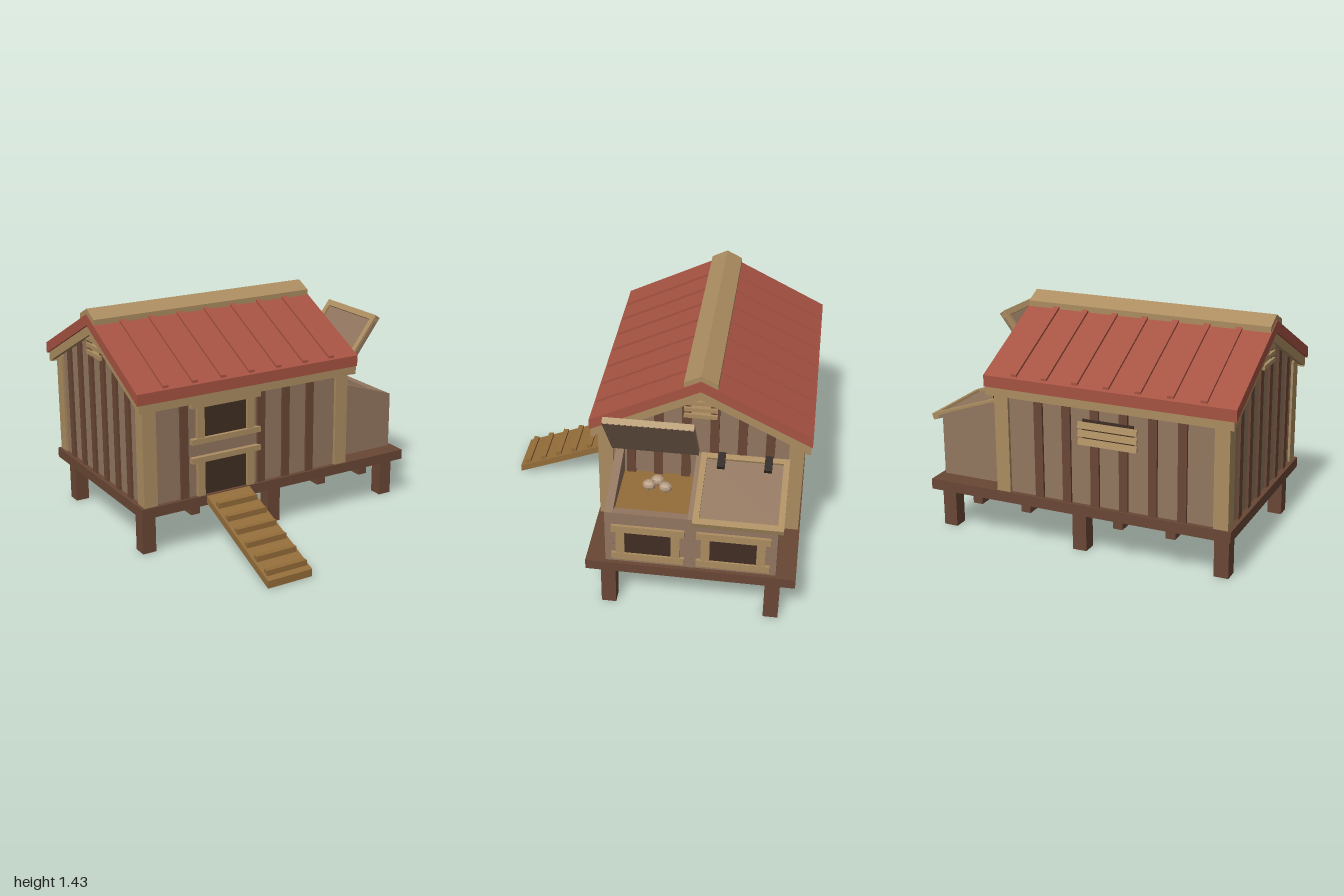
import * as THREE from 'three';

export function createModel() {
  const root = new THREE.Group();
  root.name = 'chickenCoop';
  const mat = (name, color) => {
    const m = new THREE.MeshStandardMaterial({ color });
    m.name = name;
    return m;
  };
  const wall = mat('wallBoards', 0x92765f);
  const wood = mat('darkTimber', 0x694735);
  const trim = mat('paleTrim', 0xac8d60);
  const red = mat('roofRed', 0xa65342);
  const dark = mat('darkOpening', 0x402e23);
  const straw = mat('rampAndStraw', 0x946d3a);
  const iron = mat('hingeIron', 0x2f2622);
  const shell = mat('eggShell', 0xb59a80);

  const add = (name, geo, m, parent = root) => {
    const mesh = new THREE.Mesh(geo, m);
    mesh.name = name;
    parent.add(mesh);
    return mesh;
  };
  // Box given by its limits on each axis
  const box = (name, m, x0, x1, y0, y1, z0, z1, parent) => {
    const g = new THREE.BoxGeometry(x1 - x0, y1 - y0, z1 - z0);
    g.translate((x0 + x1) / 2, (y0 + y1) / 2, (z0 + z1) / 2);
    return add(name, g, m, parent);
  };
  const extrude = (pts, depth) => new THREE.ExtrudeGeometry(
    new THREE.Shape(pts.map(p => new THREE.Vector2(...p))), { depth, bevelEnabled: false });
  // [z, y] profile extruded along x
  const alongX = (name, m, pts, x0, x1) => {
    const g = extrude(pts.map(([z, y]) => [-z, y]), x1 - x0);
    g.rotateY(Math.PI / 2);
    g.translate(x0, 0, 0);
    return add(name, g, m);
  };

  const ZC = -0.33;                 // ridge line
  const XC = -0.215;                // middle of the house
  const FLOOR = 0.335;
  const under = z => 1.33 - 0.5 * Math.abs(z - ZC);   // roof underside height
  // Chevron band following the roof, from lo to hi above the underside
  const chevron = (half, lo, hi) => {
    const a = ZC + half, b = ZC - half;
    return [[a, under(a) + lo], [a, under(a) + hi], [ZC, 1.33 + hi],
      [b, under(b) + hi], [b, under(b) + lo], [ZC, 1.33 + lo]];
  };

  // Base: platform, joists, legs
  box('platform', wood, -0.97, 0.98, 0.27, FLOOR, -0.96, 0.30);
  for (const x of [-0.602, -0.272, 0.332, 0.664]) box('joist', wood, x - 0.031, x + 0.031, 0.22, 0.27, -0.945, 0.285);
  for (const x of [-0.885, 0.015, 0.915]) for (const z of [0.165, -0.825])
    box('leg', wood, x - 0.045, x + 0.045, 0, 0.27, z - 0.045, z + 0.045);

  // House body and corner posts
  alongX('houseBody', wall, [[0.27, FLOOR], [0.27, under(0.27)], [ZC, 1.33], [-0.93, under(-0.93)], [-0.93, FLOOR]], -0.935, 0.505);
  for (const x of [-0.95, 0.43]) for (const z of [0.20, -0.95])
    box('cornerPost', trim, x, x + 0.09, FLOOR, 1.0, z, z + 0.09);

  // Battens on long walls; the front ones skip the openings
  for (let i = 0; i < 7; i++) {
    const x = -0.67 + i * 0.181;
    if (i < 6 && i !== 1 && i !== 2) box('frontBatten', wood, x - 0.027, x + 0.027, FLOOR, 1.0, 0.27, 0.285);
    if (i < 6) box('backBatten', wood, x - 0.027, x + 0.027, FLOOR, 1.0, -0.945, -0.93);
  }
  // Battens on gable walls
  for (const d of [0.085, 0.252, 0.418]) for (const s of [1, -1]) {
    const z = ZC + s * d;
    const top = under(z) - 0.012;
    box('gableBatten', wood, 0.505, 0.52, FLOOR, top, z - 0.027, z + 0.027);
    box('gableBatten', wood, -0.95, -0.935, FLOOR, top, z - 0.027, z + 0.027);
  }
  // Gable vents
  for (const x of [-0.965, 0.505]) for (const y of [1.125, 1.17, 1.215])
    box('gableVentSlat', trim, x, x + 0.03, y, y + 0.026, ZC - 0.1, ZC + 0.1);
  // Back vent
  box('backVentOpening', dark, XC - 0.16, XC + 0.16, 0.715, 0.87, -0.95, -0.942);
  for (const y of [0.735, 0.785, 0.835]) {
    const s = box('backVentSlat', trim, -0.185, 0.185, -0.02, 0.02, -0.006, 0.006);
    s.position.set(XC, y, -0.956);
    s.rotation.x = 0.25;
  }

  // Upper front window and doorway below
  const X0 = -0.535, X1 = -0.235;
  box('frontWindow', dark, X0, X1, 0.71, 0.91, 0.27, 0.278);
  box('doorway', dark, X0, X1, FLOOR, 0.555, 0.27, 0.278);
  box('windowHead', trim, -0.627, -0.143, 0.905, 0.95, 0.27, 0.302);
  box('windowSill', trim, -0.627, -0.143, 0.675, 0.71, 0.27, 0.302);
  box('doorHead', trim, -0.627, -0.143, 0.555, 0.59, 0.27, 0.302);
  for (const x of [X0 - 0.05, X1]) {
    box('windowJamb', trim, x, x + 0.05, 0.71, 0.905, 0.27, 0.295);
    box('doorJamb', trim, x, x + 0.05, FLOOR, 0.555, 0.27, 0.295);
  }

  // Ramp with cleats
  alongX('ramp', straw, [[0.29, 0.335], [1.0, 0.05], [1.0, 0.003], [0.29, 0.288]], -0.53, -0.225);
  for (let i = 0; i < 6; i++) {
    const c = box('rampCleat', straw, -0.515, -0.24, -0.01, 0.028, -0.017, 0.017);
    const z = 0.402 + i * 0.1095;
    c.position.set(0, 0.335 - (z - 0.29) * 0.4014, z);
  }

  // Roof: panels, standing seams, ridge cap, barge boards, fascia
  alongX('roof', red, chevron(0.665, 0, 0.07), -1.0, 0.56);
  for (let i = 0; i < 7; i++) {
    const x = -0.805 + i * 0.1955;
    alongX('roofSeam', red, chevron(0.65, 0.05, 0.085), x - 0.019, x + 0.019);
  }
  alongX('ridgeCap', trim, chevron(0.1, 0.068, 0.105), -0.995, 0.555);
  for (const x of [-0.985, 0.525]) alongX('bargeBoard', trim, chevron(0.655, -0.06, 0.002), x, x + 0.03);
  box('frontFascia', trim, -0.985, 0.555, 0.945, 1.01, 0.30, 0.328);
  box('backFascia', trim, -0.985, 0.555, 0.945, 1.01, -0.988, -0.96);

  // Nest box: sloped sides and divider, front wall, straw, eggs
  const side = [[0.505, FLOOR], [0.955, FLOOR], [0.955, 0.702], [0.505, 0.853]];
  for (const [z, d] of [[0.13, 0.05], [-0.35, 0.04], [-0.84, 0.05]]) {
    const g = extrude(side, d);
    g.translate(0, 0, z);
    add('nestSide', g, wall);
  }
  box('nestFront', wall, 0.905, 0.954, FLOOR, 0.702, -0.82, 0.16);
  box('nestStraw', straw, 0.505, 0.905, FLOOR, 0.675, -0.31, 0.13);
  box('nestStraw', straw, 0.505, 0.905, FLOOR, 0.6, -0.79, -0.35);
  for (const [x, z] of [[0.68, -0.045], [0.69, -0.145], [0.63, -0.09]]) {
    const g = new THREE.SphereGeometry(0.036, 8, 6).toNonIndexed();
    g.computeVertexNormals();
    const e = add('egg', g, shell);
    e.scale.set(1, 0.9, 1.15);
    e.position.set(x, 0.716, z);
  }
  // Nest box windows
  for (const z of [-0.077, -0.583]) {
    box('nestWindow', dark, 0.953, 0.96, 0.41, 0.57, z - 0.138, z + 0.138);
    box('nestWindowHead', trim, 0.95, 0.972, 0.57, 0.618, z - 0.218, z + 0.218);
    box('nestWindowSill', trim, 0.95, 0.972, 0.363, 0.41, z - 0.218, z + 0.218);
    for (const s of [-1, 1]) {
      const c = z + s * 0.164;
      box('nestWindowJamb', trim, 0.95, 0.969, 0.41, 0.57, c - 0.026, c + 0.026);
    }
  }

  // Lids: framed panel with two hinge straps, pivoting at the house wall
  const lid = (name, zc, angle) => {
    const g = new THREE.Group();
    g.name = name;
    const L = 0.495, H = 0.264, f = 0.036;
    box('lidPanel', wall, 0, L, 0, 0.025, -H, H, g);
    box('lidRail', trim, 0, f, 0.02, 0.04, -H, H, g);
    box('lidRail', trim, L - f, L + 0.003, 0.002, 0.04, -H, H, g);
    for (const s of [-1, 1]) {
      const c = s * (H - f / 2);
      box('lidStile', trim, f, L - f, 0.02, 0.04, c - f / 2, c + f / 2, g);
      box('hingeStrap', iron, -0.005, 0.1, 0.02, 0.05, s * 0.14 - 0.023, s * 0.14 + 0.023, g);
    }
    g.position.set(0.528, 0.85, zc);
    g.rotation.z = angle;
    root.add(g);
  };
  lid('closedLid', -0.606, -0.33);
  lid('openLid', -0.06, 0.92);

  return root;
}
